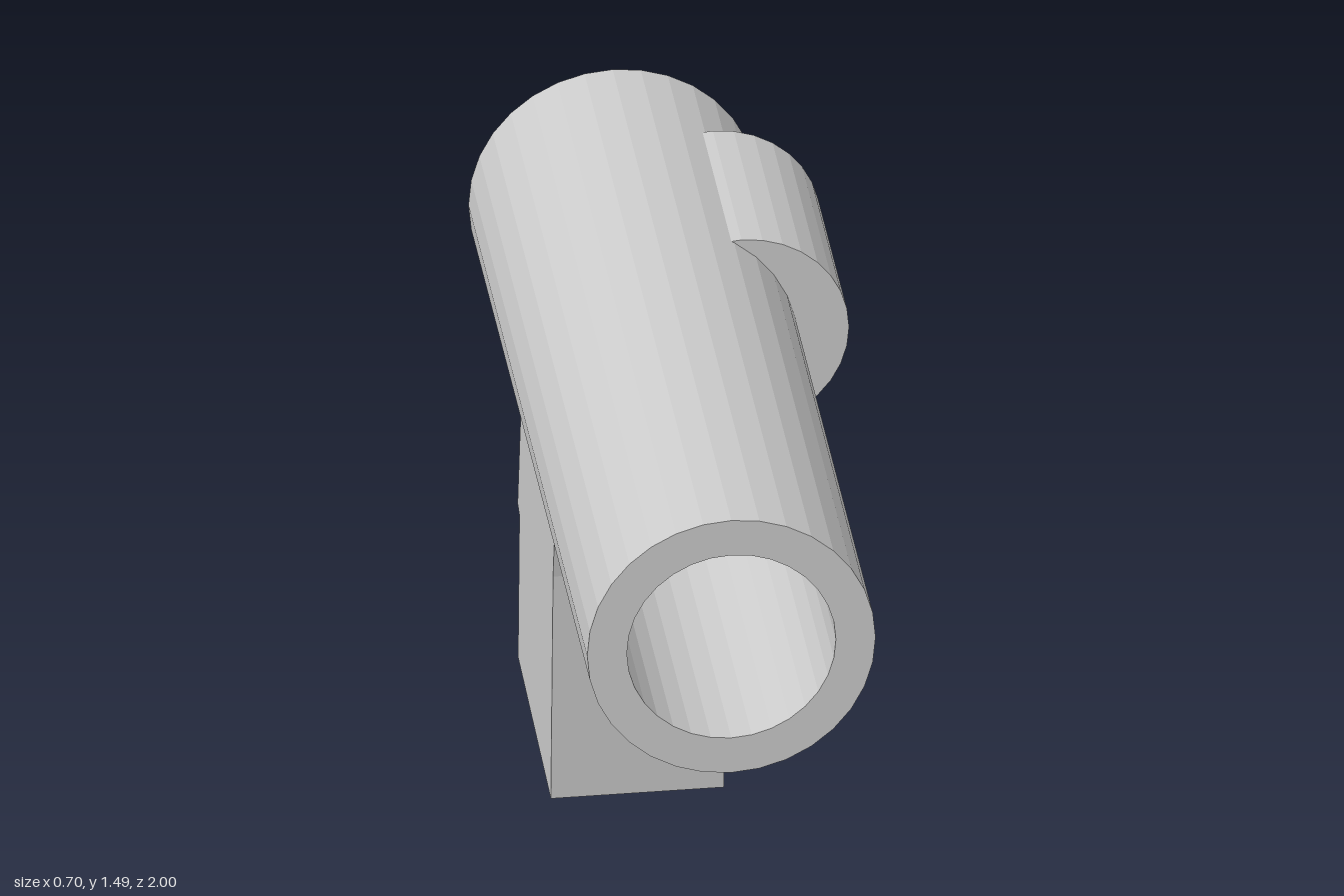
import * as THREE from 'three';

const material = new THREE.MeshStandardMaterial({ color: 0xcccccc, flatShading: true });
const SIDES = 32;
const AXIS = { x: -0.055, y: 1.19 };

function part(name, geometry) {
  const mesh = new THREE.Mesh(geometry, material);
  mesh.name = name;
  return mesh;
}

// Solid cylinder lying along z between two depths
function rod(name, radius, x, y, back, front) {
  const geometry = new THREE.CylinderGeometry(radius, radius, front - back, SIDES);
  geometry.rotateX(Math.PI / 2);
  const mesh = part(name, geometry);
  mesh.position.set(x, y, (back + front) / 2);
  return mesh;
}

export function createModel() {
  const model = new THREE.Group();
  model.name = 'handheldLauncher';

  // Thick-walled tube: outer wall, front rim, bore, rear rim
  const outer = 0.298, inner = 0.216, back = -0.865, front = 1;
  const wall = [[outer, back], [outer, front], [inner, front], [inner, back], [outer, back]];
  const tube = new THREE.LatheGeometry(wall.map(([r, z]) => new THREE.Vector2(r, z)), SIDES);
  tube.rotateX(Math.PI / 2);
  const barrel = part('barrel', tube);
  barrel.position.set(AXIS.x, AXIS.y, 0);
  model.add(barrel);

  // Plug closing the rear of the bore
  model.add(rod('rearCap', inner, AXIS.x, AXIS.y, -0.887, -0.845));

  // Short cylinder set into the left side of the barrel
  model.add(rod('sideCylinder', 0.222, 0.126, 1.221, -0.666, -0.215));

  // Bent grip, side outline as [z, y], running up into the bore
  const outline = [
    [-0.475, 0], [-0.99, 0.04], [-0.968, 0.388], [-0.997, 0.4], [-0.952, 0.62],
    [-0.943, 0.718], [-0.933, 0.722], [-0.857, 1.06], [-0.336, 1.06], [-0.44, 0.545],
  ];
  const shape = new THREE.Shape(outline.map(([z, y]) => new THREE.Vector2(-z, y)));
  const gripGeometry = new THREE.ExtrudeGeometry(shape, { depth: 0.358, bevelEnabled: false });
  gripGeometry.rotateY(Math.PI / 2);
  const grip = part('grip', gripGeometry);
  grip.position.x = -0.234;
  model.add(grip);

  return model;
}
